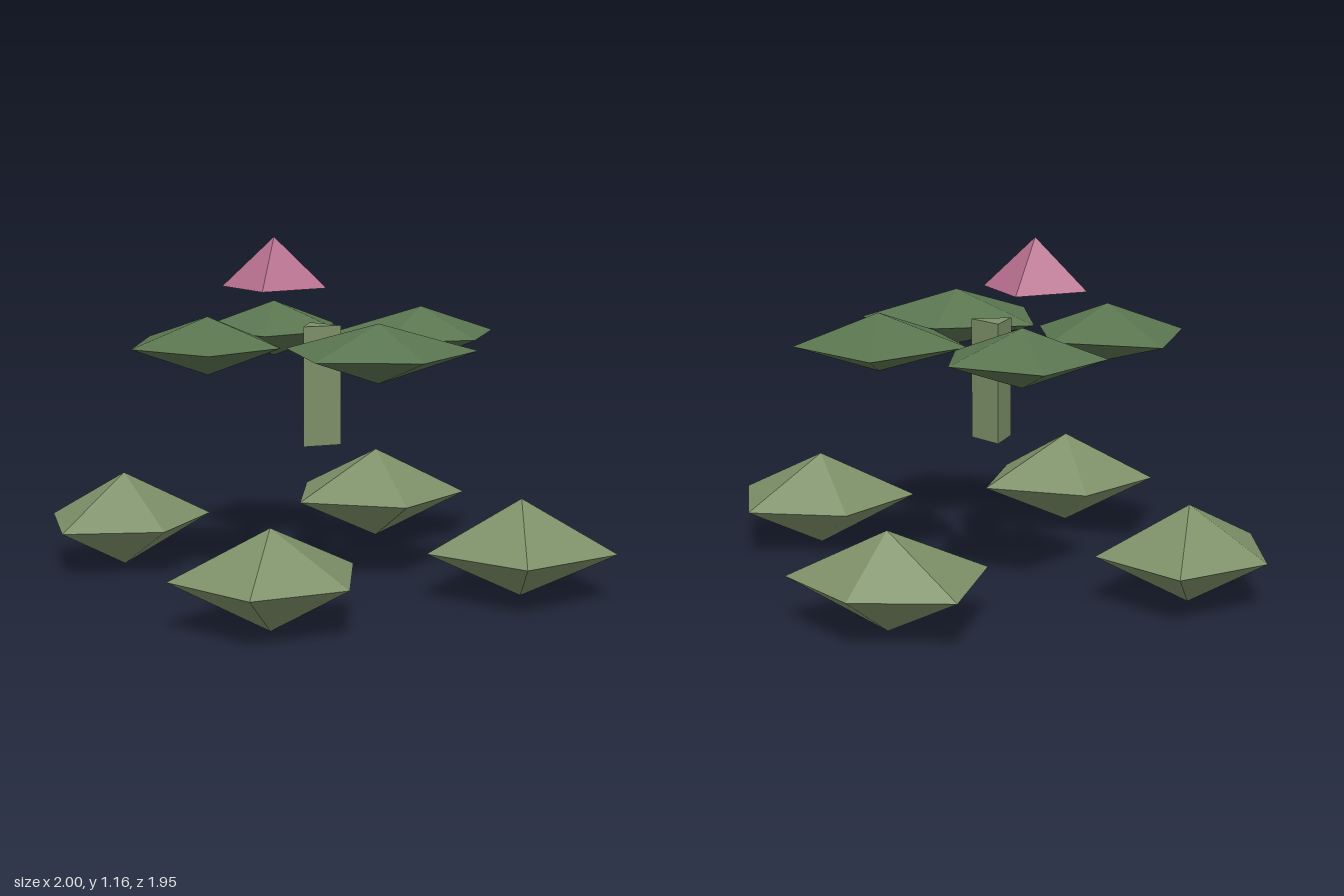
import * as THREE from 'three';

const mat = (color) => new THREE.MeshStandardMaterial({ color, flatShading: true });

// Five-sided double pyramid: apex [x, z], rim points clockwise seen from above
function leafGeometry([ax, az], rim, y, half) {
  const pos = [];
  rim.forEach((a, i) => {
    const b = rim[(i + 1) % rim.length];
    pos.push(ax, y + half, az, b[0], y, b[1], a[0], y, a[1]);
    pos.push(ax, y - half, az, a[0], y, a[1], b[0], y, b[1]);
  });
  const g = new THREE.BufferGeometry();
  g.setAttribute('position', new THREE.Float32BufferAttribute(pos, 3));
  g.computeVertexNormals();
  return g;
}

const lower = [
  { apex: [-0.03, 0.69], rim: [[-0.195, 0.45], [0.18, 0.42], [0.235, 0.78], [-0.03, 0.97], [-0.335, 0.785]] },
  { apex: [0.68, 0.09], rim: [[0.825, -0.19], [1, 0.14], [0.735, 0.42], [0.39, 0.25], [0.49, -0.105]] },
  { apex: [0.055, -0.73], rim: [[0.08, -0.98], [0.375, -0.8], [0.215, -0.455], [-0.18, -0.475], [-0.235, -0.865]] },
  { apex: [-0.73, -0.1], rim: [[-0.79, -0.4], [-0.46, -0.25], [-0.53, 0.1], [-0.86, 0.2], [-1, -0.13]] },
];

const upper = [
  { apex: [-0.245, -0.345], rim: [[-0.405, -0.58], [-0.08, -0.56], [0, -0.305], [-0.22, -0.08], [-0.505, -0.265]] },
  { apex: [0.29, -0.26], rim: [[0.17, -0.59], [0.515, -0.44], [0.495, -0.125], [0.21, 0.01], [-0.02, -0.245]] },
  { apex: [0.235, 0.28], rim: [[0.21, 0.02], [0.54, 0.145], [0.415, 0.485], [0.08, 0.54], [-0.085, 0.2]] },
  { apex: [-0.35, 0.19], rim: [[-0.61, -0.03], [-0.24, -0.07], [-0.1, 0.21], [-0.28, 0.455], [-0.57, 0.335]] },
];

export function createModel() {
  const model = new THREE.Group();
  model.name = 'plant';
  const paleGreen = mat(0x7d9068);
  const darkGreen = mat(0x5a7550);

  const add = (name, geometry, material, x = 0, y = 0, z = 0) => {
    const mesh = new THREE.Mesh(geometry, material);
    mesh.name = name;
    mesh.position.set(x, y, z);
    model.add(mesh);
    return mesh;
  };

  // Two rings of leaves
  lower.forEach((l, i) => add(`lowerLeaf${i + 1}`, leafGeometry(l.apex, l.rim, 0.163, 0.163), paleGreen));
  upper.forEach((l, i) => add(`upperLeaf${i + 1}`, leafGeometry(l.apex, l.rim, 0.817, 0.097), darkGreen));

  // Three-sided stem
  const stem = add('stem', new THREE.CylinderGeometry(0.078, 0.078, 0.405, 3), paleGreen, -0.022, 0.667, -0.021);
  stem.rotation.y = 1.61;

  // Four-sided flower
  add('flower', new THREE.ConeGeometry(0.18, 0.17, 4), mat(0xb8708f), -0.18, 1.075, -0.055);

  return model;
}
